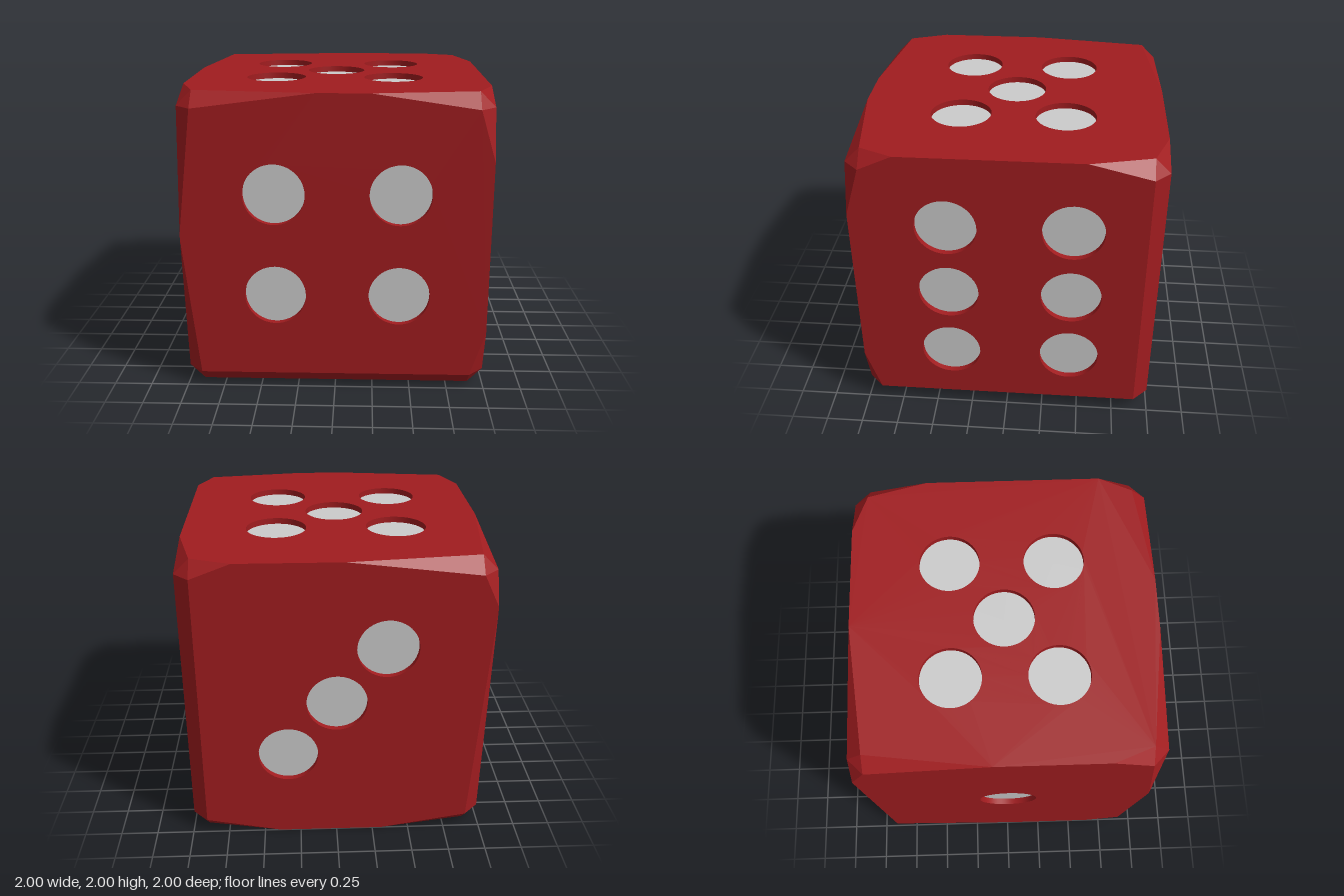
import * as THREE from 'three';

const INSET = 0.9, PIP_R = 0.2, DEPTH = 0.04;
const red = new THREE.MeshStandardMaterial({ color: 0xa01c1f, flatShading: true });
const redInside = new THREE.MeshStandardMaterial({ color: 0xa01c1f, side: THREE.BackSide });
const grey = new THREE.MeshStandardMaterial({ color: 0xcccccc });

// Each edge runs along an axis (0 x, 1 y, 2 z); keys are the signs of the next two axes.
// The pair is the stretch that stays sharp between two tapering chamfers; null is a full chamfer.
const EDGES = [
  { '++': [-0.12, 0.22], '-+': null, '+-': [-0.05, 0.64], '--': [-0.31, 0.39] },
  { '++': [-0.59, 0.57], '+-': [0.04, 0.08], '-+': null, '--': [0.65, 0.69] },
  { '++': [-0.5, 0.68], '-+': [-0.1, 0.64], '+-': null, '--': [0.03, 0.65] },
];

// Pip centres on the body centred at the origin: [x, y, z], the face's own axis ignored
const FACES = [
  { name: 'frontFace', axis: 2, sign: 1,
    pips: [[-0.39, 0.35, 0], [0.42, 0.35, 0], [-0.39, -0.335, 0], [0.42, -0.335, 0]] },
  { name: 'backFace', axis: 2, sign: -1,
    pips: [[0.325, -0.37, 0], [0, 0.02, 0], [-0.325, 0.41, 0]] },
  { name: 'leftFace', axis: 0, sign: 1,
    pips: [0.5, -0.01, -0.515].flatMap(y => [[0, y, 0.38], [0, y, -0.43]]) },
  { name: 'rightFace', axis: 0, sign: -1, pips: [[0, 0, 0]] },
  { name: 'topFace', axis: 1, sign: 1,
    pips: [[-0.42, 0, -0.35], [0.38, 0, -0.35], [-0.02, 0, 0], [-0.42, 0, 0.34], [0.38, 0, 0.34]] },
  { name: 'bottomFace', axis: 1, sign: -1, pips: [[0.36, 0, -0.34], [-0.28, 0, 0.2]] },
];

const signChar = s => (s > 0 ? '+' : '-');
const edgeOf = (axis, signs) =>
  EDGES[axis][signChar(signs[(axis + 1) % 3]) + signChar(signs[(axis + 2) % 3])];

// Point of a cut corner that lies on the face of the given axis
const cornerPoint = (signs, axis) =>
  new THREE.Vector3(...signs.map((s, i) => (i === axis ? s : s * INSET)));

// One flat face with round holes, and the sunken pips behind them
function makeFace({ name, axis, sign, pips }) {
  const group = new THREE.Group();
  group.name = name;
  let u = (axis + 1) % 3, v = (axis + 2) % 3;
  if (sign < 0) [u, v] = [v, u];

  const outline = [];
  for (const [along, across] of [[u, v], [v, u]]) {
    for (const side of [-1, 1]) {
      const signs = [0, 0, 0];
      signs[axis] = sign;
      signs[across] = side;
      for (const t of edgeOf(along, signs) ?? []) {
        outline.push(along === u ? new THREE.Vector2(t, side) : new THREE.Vector2(side, t));
      }
      outline.push(new THREE.Vector2(side, along === u ? 1 : -side).multiplyScalar(INSET));
    }
  }
  // The four inset corners, once each, then all points in order around the face
  const points = outline.filter(p => Math.max(Math.abs(p.x), Math.abs(p.y)) > INSET + 0.01);
  for (const a of [-1, 1]) for (const b of [-1, 1]) points.push(new THREE.Vector2(a * INSET, b * INSET));
  points.sort((p, q) => p.angle() - q.angle());

  const shape = new THREE.Shape(points);
  for (const pip of pips) {
    const hole = new THREE.Path().absarc(pip[u], pip[v], PIP_R, 0, Math.PI * 2, true);
    shape.holes.push(hole);

    const wall = new THREE.Mesh(
      new THREE.CylinderGeometry(PIP_R, PIP_R, DEPTH, 48, 1, true).rotateX(Math.PI / 2), redInside);
    wall.name = 'pipWall';
    wall.position.set(pip[u], pip[v], 1 - DEPTH / 2);
    const disc = new THREE.Mesh(new THREE.CircleGeometry(PIP_R, 48), grey);
    disc.name = 'pip';
    disc.position.set(pip[u], pip[v], 1 - DEPTH);
    group.add(wall, disc);
  }
  const panel = new THREE.Mesh(new THREE.ShapeGeometry(shape, 24), red);
  panel.name = 'facePanel';
  panel.position.z = 1;
  group.add(panel);

  const unit = i => new THREE.Vector3().setComponent(i, 1);
  group.quaternion.setFromRotationMatrix(
    new THREE.Matrix4().makeBasis(unit(u), unit(v), unit(axis).multiplyScalar(sign)));
  return group;
}

// Corner triangles, tapering edge chamfers and full edge chamfers
function makeChamfers() {
  const verts = [];
  const triangle = (a, b, c) => {
    const normal = b.clone().sub(a).cross(c.clone().sub(a));
    const ordered = normal.dot(a) > 0 ? [a, b, c] : [a, c, b];
    for (const p of ordered) verts.push(p.x, p.y, p.z);
  };
  for (const x of [-1, 1]) for (const y of [-1, 1]) for (const z of [-1, 1]) {
    const s = [x, y, z];
    triangle(...[0, 1, 2].map(axis => cornerPoint(s, axis)));
    for (let axis = 0; axis < 3; axis++) {
      const b = (axis + 1) % 3, c = (axis + 2) % 3;
      const p = cornerPoint(s, b), q = cornerPoint(s, c);
      const sharp = edgeOf(axis, s);
      if (sharp) {
        const apex = new THREE.Vector3(...s).setComponent(axis, sharp[s[axis] > 0 ? 1 : 0]);
        triangle(p, q, apex);
      } else if (s[axis] > 0) {
        const far = s.map((k, i) => (i === axis ? -k : k));
        const p2 = cornerPoint(far, b), q2 = cornerPoint(far, c);
        triangle(p, q, q2);
        triangle(p, q2, p2);
      }
    }
  }
  const geometry = new THREE.BufferGeometry();
  geometry.setAttribute('position', new THREE.Float32BufferAttribute(verts, 3));
  geometry.computeVertexNormals();
  const mesh = new THREE.Mesh(geometry, red);
  mesh.name = 'chamferedEdges';
  return mesh;
}

export function createModel() {
  const die = new THREE.Group();
  die.name = 'die';
  const body = new THREE.Group();
  body.name = 'body';
  body.position.y = 1;
  body.add(makeChamfers(), ...FACES.map(makeFace));
  die.add(body);
  return die;
}
